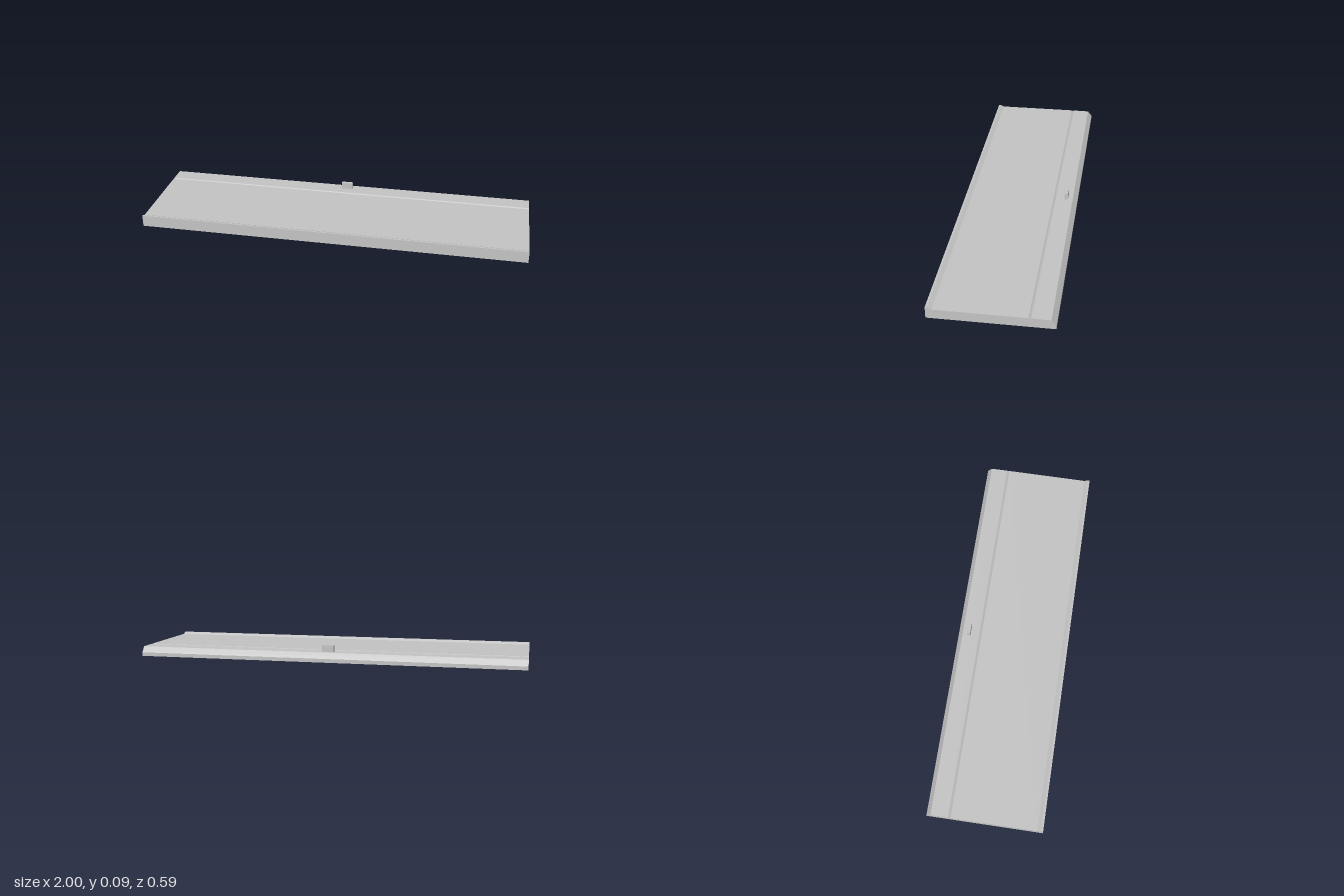
import * as THREE from 'three';

const LENGTH = 2;

export function createModel() {
  const group = new THREE.Group();
  const grey = new THREE.MeshStandardMaterial({ color: 0xc4c4c4 });
  grey.name = 'light grey';

  // Panel cross-section as [z, y]: raised front lip, shallow groove, bevelled rear edge
  const profile = [
    [0.295, 0], [0.295, 0.06], [0.285, 0.06], [0.265, 0.05],
    [-0.17, 0.054], [-0.176, 0.049], [-0.183, 0.054],
    [-0.272, 0.054], [-0.295, 0.025], [-0.295, 0.006],
  ];
  const shape = new THREE.Shape(profile.map(([z, y]) => new THREE.Vector2(z, y)));
  const panelGeometry = new THREE.ExtrudeGeometry(shape, { depth: LENGTH, bevelEnabled: false });
  panelGeometry.translate(0, 0, -LENGTH / 2).rotateY(-Math.PI / 2);
  const panel = new THREE.Mesh(panelGeometry, grey);
  panel.name = 'panel';
  group.add(panel);

  // Small upright tab near the rear edge
  const tab = new THREE.Mesh(new THREE.BoxGeometry(0.06, 0.036, 0.018), grey);
  tab.name = 'tab';
  tab.position.set(0, 0.07, -0.238);
  group.add(tab);

  return group;
}
